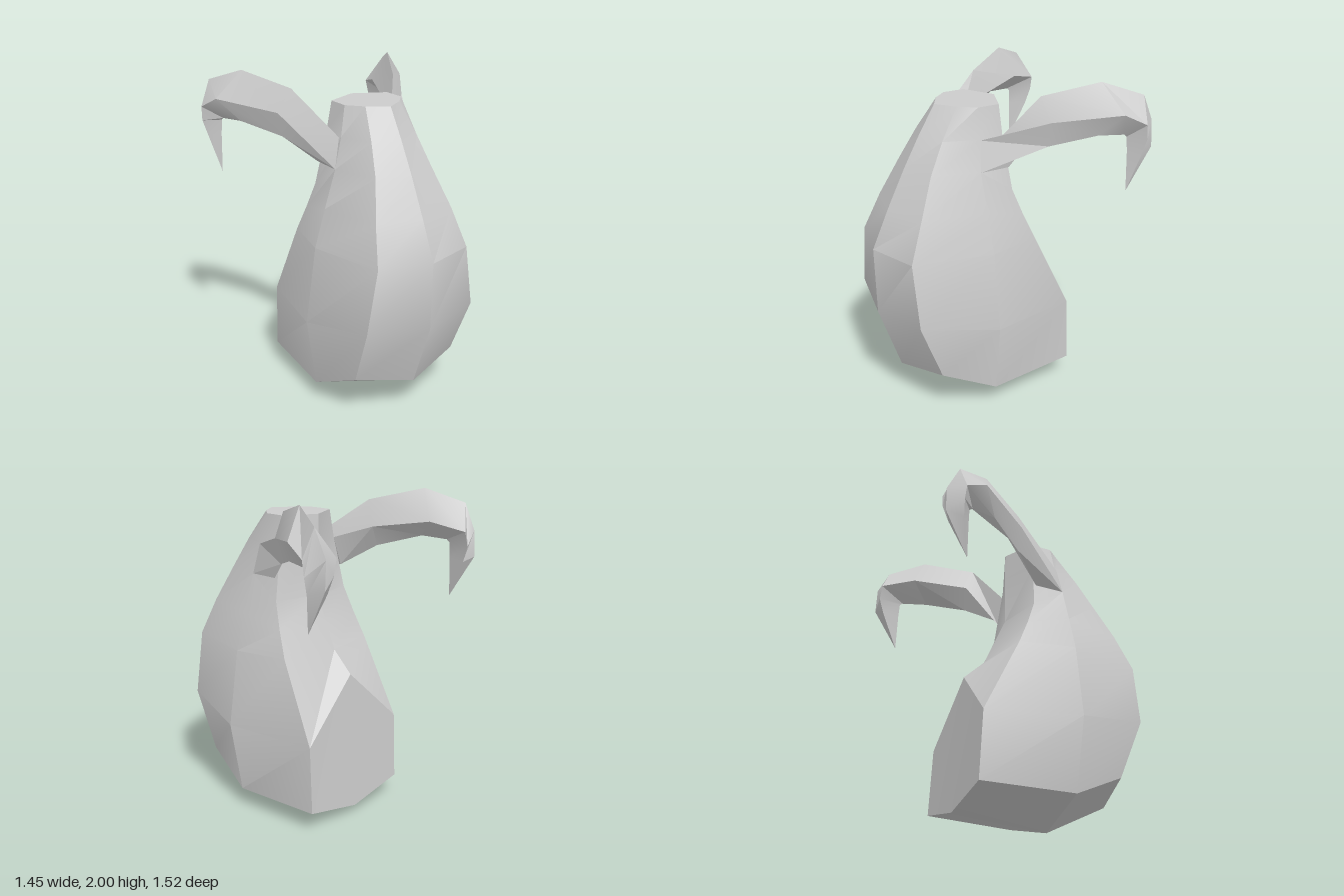
import * as THREE from 'three';
import { toCreasedNormals } from 'three/addons/utils/BufferGeometryUtils.js';

const material = new THREE.MeshStandardMaterial({ color: 0xcccccc });

// Skin a list of closed rings; start and end are the points that close each end.
function loft(rings, start, end) {
  const positions = [];
  const tri = (a, b, c) => positions.push(...a, ...b, ...c);
  const n = rings[0].length;
  const last = rings[rings.length - 1];
  for (let j = 0; j < n; j++) {
    const k = (j + 1) % n;
    tri(start, rings[0][k], rings[0][j]);
    for (let i = 0; i < rings.length - 1; i++) {
      const low = rings[i], high = rings[i + 1];
      tri(low[j], low[k], high[k]);
      tri(low[j], high[k], high[j]);
    }
    tri(end, last[j], last[k]);
  }
  const geometry = new THREE.BufferGeometry();
  geometry.setAttribute('position', new THREE.Float32BufferAttribute(positions, 3));
  return toCreasedNormals(geometry, 0.45);
}

const mirror = ([x, y, z]) => [-x, y, z];

// Half ring: front centre, front corner, side, back corner, back centre.
function fullRing(half) {
  return [...half, ...half.slice(1, 4).reverse().map(mirror)];
}

function createBody() {
  const halves = [
    [[0, 0.205, 0.605], [0.365, 0.28, 0.51], [0.435, 0.12, 0.17], [0.39, 0.13, -0.41], [0, 0.05, -0.41]],
    [[0, 0.62, 0.75], [0.385, 0.65, 0.66], [0.505, 0.57, 0.19], [0.39, 0.55, -0.39], [0, 0.91, -0.355]],
    [[0, 1.04, 0.76], [0.32, 1.04, 0.67], [0.435, 1.04, 0.19], [0.36, 1.04, -0.15], [0, 1.04, -0.22]],
    [[0, 1.27, 0.655], [0.27, 1.27, 0.575], [0.365, 1.27, 0.19], [0.33, 1.2, -0.08], [0, 1.2, -0.15]],
    [[0, 1.5, 0.54], [0.2, 1.5, 0.47], [0.29, 1.5, 0.19], [0.3, 1.36, -0.02], [0, 1.36, -0.08]],
    [[0, 1.68, 0.44], [0.16, 1.68, 0.37], [0.235, 1.68, 0.17], [0.235, 1.68, 0.01], [0, 1.68, -0.08]],
    [[0, 1.86, 0.33], [0.12, 1.86, 0.25], [0.2, 1.86, 0.155], [0.2, 1.86, 0.015], [0, 1.86, -0.08]],
  ];
  const body = new THREE.Mesh(loft(halves.map(fullRing), [0, 0, 0.2], [0, 1.86, 0.12]), material);
  body.name = 'body';
  return body;
}

// Horn sections run from root to tip: top, outer, bottom, inner corner.
function createHorn(side) {
  let rings = [
    [[0.235, 1.68, 0.01], [0.25, 1.68, 0.17], [0.29, 1.5, 0.19], [0.29, 1.5, 0]],
    [[0.37, 1.92, -0.16], [0.455, 1.78, -0.18], [0.42, 1.63, -0.19], [0.34, 1.76, -0.22]],
    [[0.54, 2, -0.46], [0.69, 1.83, -0.52], [0.58, 1.7, -0.42], [0.48, 1.81, -0.55]],
    [[0.655, 1.92, -0.68], [0.725, 1.76, -0.66], [0.62, 1.69, -0.58], [0.565, 1.76, -0.75]],
    [[0.65, 1.76, -0.757], [0.72, 1.67, -0.67], [0.62, 1.675, -0.6], [0.59, 1.67, -0.755]],
    [[0.66, 1.6, -0.76], [0.69, 1.57, -0.66], [0.625, 1.58, -0.605], [0.6, 1.57, -0.72]],
  ];
  let root = [0.26, 1.59, 0.09];
  let tip = [0.63, 1.34, -0.61];
  if (side < 0) {
    rings = rings.map((ring) => ring.map(mirror).reverse());
    root = mirror(root);
    tip = mirror(tip);
  }
  const horn = new THREE.Mesh(loft(rings, root, tip), material);
  horn.name = side > 0 ? 'leftHorn' : 'rightHorn';
  return horn;
}

export function createModel() {
  const model = new THREE.Group();
  model.name = 'hornedVessel';
  model.add(createBody(), createHorn(1), createHorn(-1));
  return model;
}
